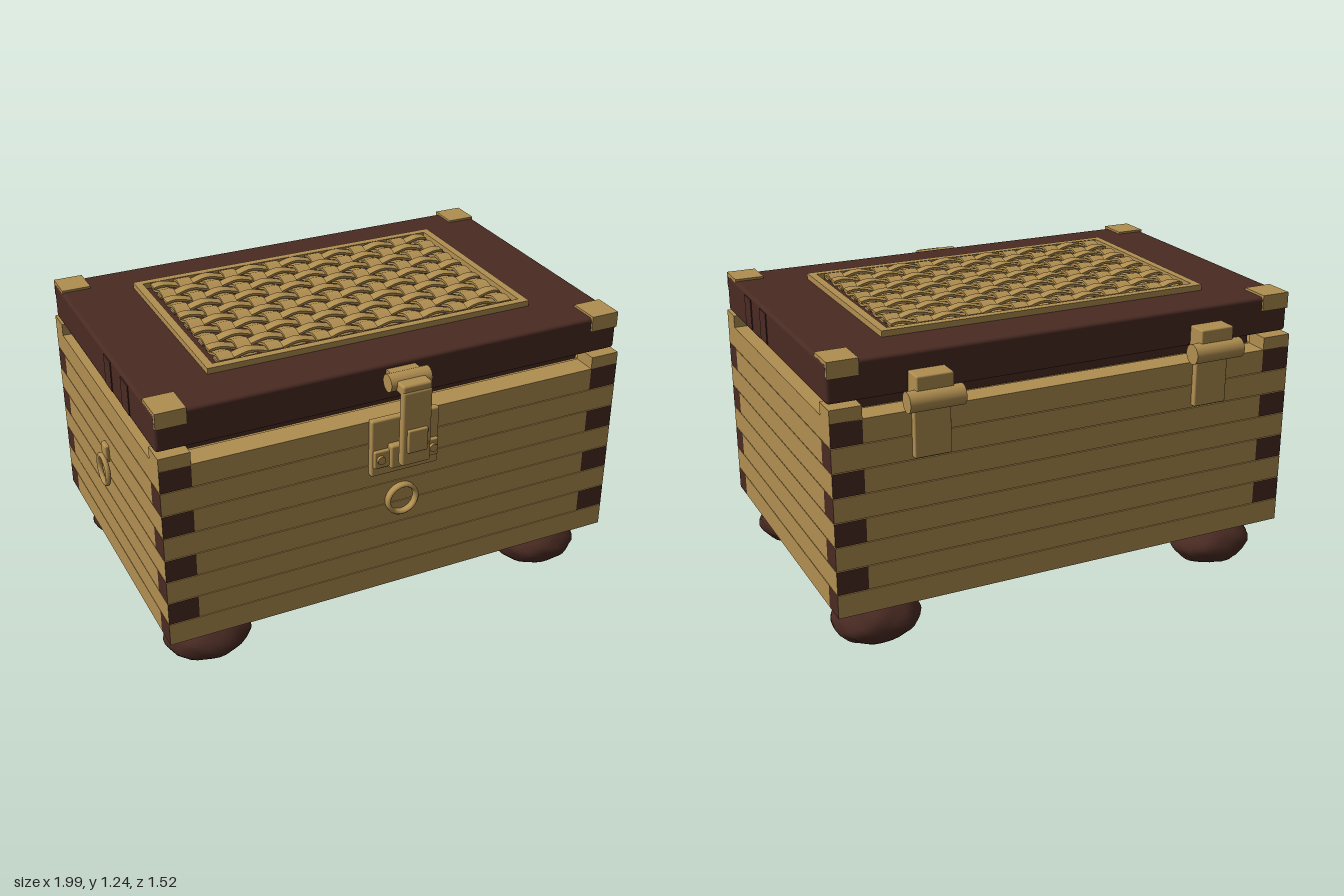
import * as THREE from 'three';
import { RoundedBoxGeometry } from 'three/addons/geometries/RoundedBoxGeometry.js';

const tan = new THREE.MeshStandardMaterial({ color: 0xb08e50 });
tan.name = 'pale wood and brass';
const dark = new THREE.MeshStandardMaterial({ color: 0x4a2b23 });
dark.name = 'dark brown wood';

// Outer limits of the box body
const X0 = -0.967, X1 = 0.993, Z0 = -0.677, Z1 = 0.632;
const CX = 0.013, CZ = -0.0225, SIDE = 0.123, FRONT = 0.1;

export function createModel() {
  const model = new THREE.Group();
  model.name = 'chest';

  const add = (name, geometry, material, x = 0, y = 0, z = 0, parent = model) => {
    const mesh = new THREE.Mesh(geometry, material);
    mesh.name = name;
    mesh.position.set(x, y, z);
    parent.add(mesh);
    return mesh;
  };
  // Box given by its limits on each axis; radius rounds its edges
  const box = (name, mat, [x0, x1], [y0, y1], [z0, z1], radius = 0, parent = model) => {
    const size = [x1 - x0, y1 - y0, z1 - z0];
    const geo = radius ? new RoundedBoxGeometry(...size, 2, radius) : new THREE.BoxGeometry(...size);
    return add(name, geo, mat, (x0 + x1) / 2, (y0 + y1) / 2, (z0 + z1) / 2, parent);
  };
  const group = (name) => {
    const g = new THREE.Group();
    g.name = name;
    model.add(g);
    return g;
  };

  // Finger-jointed walls: rows alternate between long side planks and long front planks
  const walls = group('walls');
  const rows = 8, rowH = 0.78 / rows, seam = 0.0015;
  for (let r = 0; r < rows; r++) {
    const y = [0.22 + r * rowH + seam, 0.22 + (r + 1) * rowH - seam];
    const sideRuns = r % 2 === 1;
    const xs = sideRuns ? [X0 + SIDE, X1 - SIDE] : [X0, X1];
    const zs = sideRuns ? [Z0, Z1] : [Z0 + FRONT, Z1 - FRONT];
    const endX = [dark, dark, tan, tan, tan, tan];
    const endZ = [tan, tan, tan, tan, dark, dark];
    const frontMat = sideRuns ? tan : endX, sideMat = sideRuns ? endZ : tan;
    box('frontPlank', frontMat, xs, y, [Z1 - FRONT, Z1], 0, walls);
    box('backPlank', frontMat, xs, y, [Z0, Z0 + FRONT], 0, walls);
    box('leftPlank', sideMat, [X1 - SIDE, X1], y, zs, 0, walls);
    box('rightPlank', sideMat, [X0, X0 + SIDE], y, zs, 0, walls);
  }
  box('core', tan, [X0 + 0.01, X1 - 0.01], [0.222, 0.995], [Z0 + 0.01, Z1 - 0.01]);
  box('basePlate', tan, [-0.888, 0.912], [0.188, 0.224], [-0.58, 0.535], 0.012);

  // Recessed rim and the corner blocks around it
  box('rim', dark, [X0 + SIDE, X1 - SIDE], [0.99, 1.049], [-0.563, 0.518]);
  for (const x of [[X0, X0 + SIDE], [X1 - SIDE, X1]])
    for (const z of [[Z0, Z0 + FRONT], [Z1 - FRONT, Z1]])
      box('cornerBlock', tan, x, [0.995, 1.049], z);

  // Lid with side battens and corner caps
  box('lid', dark, [-0.965, 0.991], [1.057, 1.211], [-0.65, 0.604], 0.014);
  for (const x of [[-0.969, -0.96], [0.986, 0.995]])
    for (const z of [[0.246, 0.33], [0.043, 0.123]])
      box('lidBatten', dark, x, [1.072, 1.197], z);
  for (const x of [[-0.962, -0.842], [0.868, 0.988]]) {
    box('capTop', tan, x, [1.2, 1.22], [0.48, 0.612]);
    box('capFace', tan, x, [1.155, 1.22], [0.596, 0.612]);
    box('capTop', tan, x, [1.2, 1.22], [-0.658, -0.53]);
    box('capFace', tan, x, [1.155, 1.22], [-0.658, -0.642]);
  }

  // Woven panel: frame and interlaced strips
  const panel = group('wovenPanel');
  const outer = { x: [-0.68, 0.706], z: [-0.458, 0.395] }, fw = 0.032;
  for (const z of [[outer.z[0], outer.z[0] + fw], [outer.z[1] - fw, outer.z[1]]])
    box('frameRail', tan, outer.x, [1.205, 1.235], z, 0, panel);
  for (const x of [[outer.x[0], outer.x[0] + fw], [outer.x[1] - fw, outer.x[1]]])
    box('frameStile', tan, x, [1.205, 1.235], [outer.z[0] + fw, outer.z[1] - fw], 0, panel);
  const cols = 13, lines = 10, dx = 0.1, dz = 0.078, amp = 0.01;
  const strip = (along, across, pitch, phase, sign, turned) => {
    const geo = new THREE.BoxGeometry(along, 0.01, across, Math.round(along / pitch) * 6, 1, 1);
    const p = geo.attributes.position;
    for (let i = 0; i < p.count; i++)
      p.setY(i, p.getY(i) + sign * amp * Math.cos(Math.PI * (p.getX(i) / pitch + phase)));
    if (turned) geo.rotateY(-Math.PI / 2);
    geo.computeVertexNormals();
    return geo;
  };
  for (let j = 0; j < lines; j++)
    add('weftStrip', strip(1.27, 0.046, dx, 6, j % 2 ? -1 : 1, false), tan,
      CX, 1.229, -0.032 + (j - 4.5) * dz, panel);
  for (let i = 0; i < cols; i++)
    add('warpStrip', strip(0.775, 0.06, dz, 4.5, i % 2 ? 1 : -1, true), tan,
      CX + (i - 6) * dx, 1.229, -0.032, panel);

  // Front clasp: plate, catch, hinged strap
  const clasp = group('clasp');
  box('claspPlate', tan, [-0.132, 0.158], [0.764, 1.008], [0.625, 0.656], 0.008, clasp);
  box('catchBar', tan, [-0.125, 0.151], [0.805, 0.88], [0.65, 0.67], 0.006, clasp);
  box('catchBlock', tan, [-0.062, 0.088], [0.8, 0.9], [0.65, 0.686], 0.008, clasp);
  for (const s of [-1, 1])
    add('rivet', new THREE.CylinderGeometry(0.017, 0.017, 0.02, 16).rotateX(Math.PI / 2), tan,
      CX + s * 0.112, 0.845, 0.672, clasp);
  box('strap', tan, [-0.05, 0.074], [0.84, 1.155], [0.713, 0.746], 0.01, clasp);
  box('strapArm', tan, [-0.05, 0.074], [1.135, 1.18], [0.66, 0.742], 0.01, clasp);
  box('strapPad', tan, [-0.03, 0.055], [0.898, 0.996], [0.74, 0.758], 0.006, clasp);
  add('claspPin', new THREE.CylinderGeometry(0.035, 0.035, 0.172, 24).rotateZ(Math.PI / 2), tan,
    CX, 1.163, 0.66, clasp);
  box('claspMount', tan, [-0.05, 0.074], [1.135, 1.19], [0.598, 0.64], 0, clasp);

  // Round keyhole ring on the front
  const ringProfile = [[0.053, 0], [0.053, 0.02], [0.058, 0.026], [0.064, 0.026], [0.07, 0.02], [0.07, 0]]
    .map(([r, h]) => new THREE.Vector2(r, h)).reverse();
  const ring = new THREE.LatheGeometry(ringProfile, 32).rotateX(Math.PI / 2);
  const ringMat = tan.clone();
  ringMat.side = THREE.DoubleSide;
  add('keyRing', ring, ringMat, CX, 0.625, 0.631);

  // Hanging ring on the right side
  const pull = group('sidePull');
  add('pullRing', new THREE.TorusGeometry(0.06, 0.011, 10, 32).rotateY(Math.PI / 2), tan,
    -0.989, 0.648, -0.03, pull);
  box('pullMount', tan, [-0.985, -0.96], [0.69, 0.765], [-0.058, -0.002], 0.008, pull);

  // Back hinges
  for (const x of [-0.582, 0.61]) {
    const hinge = group('hinge');
    box('upperLeaf', tan, [x - 0.073, x + 0.073], [1.05, 1.142], [-0.73, -0.645], 0.006, hinge);
    box('lowerLeaf', tan, [x - 0.073, x + 0.073], [0.817, 1.03], [-0.701, -0.67], 0.006, hinge);
    add('barrel', new THREE.CylinderGeometry(0.04, 0.04, 0.218, 24).rotateZ(Math.PI / 2), tan,
      x, 1.049, -0.722, hinge);
  }

  // Lumpy bun feet
  const foot = (seed) => {
    const geo = new THREE.SphereGeometry(1, 32, 20);
    const p = geo.attributes.position, v = new THREE.Vector3();
    for (let i = 0; i < p.count; i++) {
      v.fromBufferAttribute(p, i);
      const n = Math.sin(5 * v.x + seed) * Math.sin(4 * v.y + 2 * seed) * Math.sin(5 * v.z + 3 * seed)
        + 0.5 * Math.sin(9 * v.x + 4 * v.z + seed) * Math.sin(8 * v.y - 5 * v.z);
      v.multiplyScalar(0.99 + 0.045 * n);
      p.setXYZ(i, v.x * 0.178, v.y * 0.098, v.z * 0.148);
    }
    geo.computeVertexNormals();
    return geo;
  };
  let seed = 1;
  for (const x of [-0.757, 0.786])
    for (const z of [0.455, -0.502]) add('foot', foot(seed++), dark, x, 0.102, z);

  return model;
}
